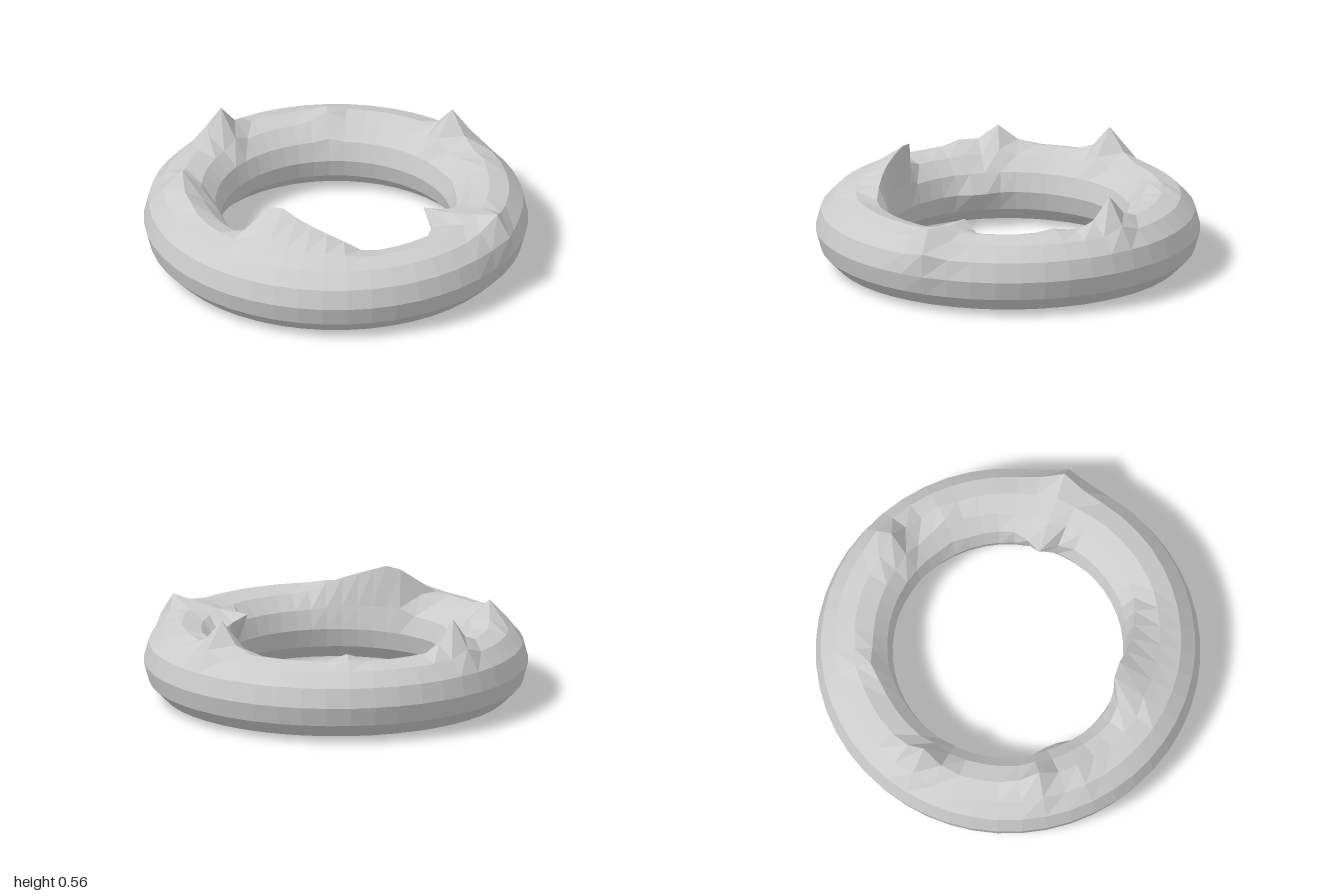
import * as THREE from 'three';

const SEGMENTS = 48, SIDES = 12, RING = 0.8, TUBE = 0.2;

// A pull on one vertex: step round the ring (0 = +x, 12 = +z),
// step up the tube (0 = outer edge, 3 = top, 6 = inner edge), lift, move inward
const pulls = [
  [36, 3, 0.155, 0], // back spike
  [1, 3, 0.15, 0], // right spike
  [30, 3, 0.105, 0], // back left spike
  [42, 4, 0.05, -0.03], // back right spike
  [10, 2, 0.07, -0.03], // front spike and its foot
  [10, 1, 0.01, -0.03],
  [10, 5, 0.075, 0.11], // front inner lip
  [9, 5, 0.03, 0.035],
  [28, 3, 0.035, 0], // swelling at the left
  [4, 4, 0.03, -0.03], // swelling at the right
];
// Left ridge, falling from its peak toward the front
for (let s = 23; s >= 18; s--) {
  const fade = (s - 18) / 5;
  pulls.push([s, 4, 0.04 + 0.1 * fade, 0.02 + 0.05 * fade]);
}
// Flattened stretch of the hole
for (const s of [28, 29]) pulls.push([s, 6, 0, 0.025]);

// Direct neighbours follow a pull by a quarter
function follow(s, t, [atS, atT]) {
  const round = Math.abs(s - atS);
  const steps = Math.min(round, SEGMENTS - round) + Math.abs(t - atT);
  return [1, 0.25][steps] ?? 0;
}

function createRingGeometry() {
  const geometry = new THREE.TorusGeometry(RING, TUBE, SIDES, SEGMENTS);
  geometry.rotateX(Math.PI / 2);
  const pos = geometry.attributes.position;
  for (let i = 0; i < pos.count; i++) {
    const s = (i % (SEGMENTS + 1)) % SEGMENTS;
    const t = (SIDES - Math.floor(i / (SEGMENTS + 1))) % SIDES;
    const angle = (s / SEGMENTS) * Math.PI * 2;
    let lift = 0, inward = 0;
    for (const pull of pulls) {
      const w = follow(s, t, pull);
      lift += w * pull[2];
      inward += w * pull[3];
    }
    pos.setXYZ(
      i,
      pos.getX(i) - inward * Math.cos(angle),
      pos.getY(i) + lift,
      pos.getZ(i) - inward * Math.sin(angle)
    );
  }
  geometry.translate(0, TUBE + 0.005, 0);
  geometry.computeVertexNormals();
  return geometry;
}

export function createModel() {
  const group = new THREE.Group();
  // Low-poly ring lying flat, with spikes pulled from its upper side
  const ring = new THREE.Mesh(
    createRingGeometry(),
    new THREE.MeshStandardMaterial({ color: 0xcccccc, flatShading: true })
  );
  ring.name = 'spikedRing';
  group.add(ring);
  return group;
}
